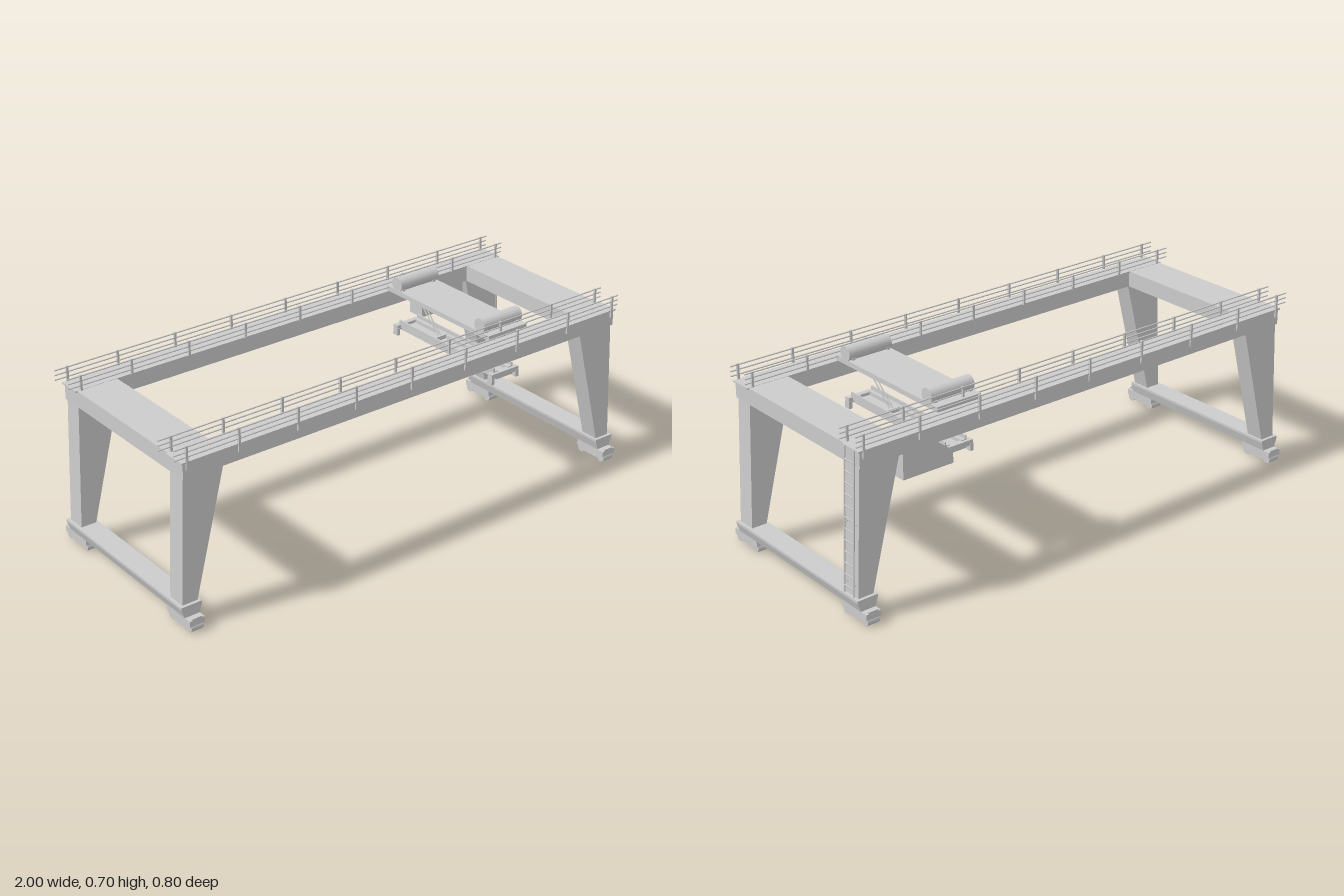
import * as THREE from 'three';

const mat = new THREE.MeshStandardMaterial({ color: 0xcccccc });
const flat = new THREE.MeshStandardMaterial({ color: 0xcccccc, flatShading: true });

function add(parent, name, geo, material = flat) {
  const m = new THREE.Mesh(geo, material);
  m.name = name;
  parent.add(m);
  return m;
}

// Box given by its limits on each axis
function box(parent, name, x0, x1, y0, y1, z0, z1) {
  const m = add(parent, name, new THREE.BoxGeometry(Math.abs(x1 - x0), y1 - y0, Math.abs(z1 - z0)));
  m.position.set((x0 + x1) / 2, (y0 + y1) / 2, (z0 + z1) / 2);
  return m;
}

// Outline in x and y, extruded from z0 to z1
function prism(parent, name, pts, z0, z1) {
  const shape = new THREE.Shape(pts.map(p => new THREE.Vector2(p[0], p[1])));
  const geo = new THREE.ExtrudeGeometry(shape, { depth: z1 - z0, bevelEnabled: false });
  geo.translate(0, 0, z0);
  return add(parent, name, geo);
}

// Round bar between two points
function rod(parent, name, a, b, r, sides = 6) {
  const p = new THREE.Vector3(...a), d = new THREE.Vector3(...b).sub(p);
  const m = add(parent, name, new THREE.CylinderGeometry(r, r, d.length(), sides), mat);
  m.position.copy(p).addScaledVector(d, 0.5);
  m.quaternion.setFromUnitVectors(new THREE.Vector3(0, 1, 0), d.normalize());
  return m;
}

// Handrail along a girder edge
function railing(parent, z, yBase) {
  const g = new THREE.Group();
  g.name = 'railing';
  parent.add(g);
  for (const x of [-0.95, -0.745, -0.505, -0.26, -0.015, 0.23, 0.475, 0.725, 0.95])
    box(g, 'railPost', x - 0.004, x + 0.004, yBase, 0.688, z - 0.004, z + 0.004);
  for (const y of [0.648, 0.666, 0.684])
    rod(g, 'handrail', [-1, y, z], [0.98, y, z], 0.0025);
}

// Wheel truck under one corner
function truck(parent, sx, sz) {
  const g = new THREE.Group();
  g.name = 'wheelTruck';
  parent.add(g);
  const side = [[-0.07, 0.05], [-0.07, 0.028], [-0.035, 0.014], [0.035, 0.014], [0.07, 0.028], [0.07, 0.05]];
  prism(g, 'truckFrame', side, -0.03, 0.03).rotation.y = Math.PI / 2;
  for (const z of [-0.053, 0.053]) {
    const w = add(g, 'wheel', new THREE.CylinderGeometry(0.017, 0.017, 0.048, 20), mat);
    w.rotation.z = Math.PI / 2;
    w.position.set(0, 0.017, z);
  }
  box(g, 'bumper', -0.02, 0.02, 0.03, 0.056, sz * 0.064, sz * 0.07);
  g.position.set(sx * 0.955, 0, sz * 0.33);
}

export function createModel() {
  const model = new THREE.Group();
  model.name = 'gantryCrane';

  // Main girders with walkway plates and railings
  for (const s of [-1, 1]) {
    box(model, 'girder', -0.965, 0.965, 0.567, 0.627, s * 0.283, s * 0.366);
    box(model, 'walkway', -0.972, 0.972, 0.625, 0.631, s * 0.28, s * 0.371);
    railing(model, s * 0.369, 0.6);
    railing(model, s * 0.279, 0.628);
  }

  // End frames: cross beam, tapered legs, sill beam, trucks
  for (const s of [-1, 1]) {
    box(model, 'crossBeam', s * 0.805, s * 0.965, 0.567, 0.63, -0.29, 0.29);
    for (const t of [-1, 1]) {
      let pts = [[0.985, 0.09], [0.962, 0.57], [0.802, 0.57], [0.925, 0.09]];
      prism(model, 'leg', pts.map(p => [s * p[0], p[1]]), t > 0 ? 0.285 : -0.358, t > 0 ? 0.358 : -0.285);
      truck(model, s, t);
    }
    const sill = [[0.915, 0.093], [0.915, 0.084], [0.925, 0.05], [0.985, 0.05], [0.997, 0.084], [0.997, 0.093]];
    prism(model, 'sillBeam', sill.map(p => [s * p[0], p[1]]), -0.37, 0.37);
  }

  // Ladder on the back leg of the left end
  const ladder = new THREE.Group();
  ladder.name = 'ladder';
  model.add(ladder);
  const ladderX = y => 0.997 - (y - 0.1) * 0.045;
  for (const z of [-0.297, -0.349])
    rod(ladder, 'ladderRail', [ladderX(0.1), 0.1, z], [ladderX(0.63), 0.63, z], 0.003);
  for (let i = 0; i < 12; i++) {
    const y = 0.127 + i * 0.0415, x = ladderX(y);
    rod(ladder, 'rung', [x, y, -0.297], [x, y, -0.349], 0.003);
  }
  for (const y of [0.14, 0.36, 0.58])
    for (const z of [-0.3, -0.346])
      rod(ladder, 'ladderBracket', [ladderX(y), y, z], [ladderX(y) - 0.022, y, z], 0.002);

  // Trolley with two hoist drums
  const trolley = new THREE.Group();
  trolley.name = 'trolley';
  model.add(trolley);
  box(trolley, 'trolleyDeck', 0.41, 0.595, 0.631, 0.65, -0.293, 0.29);
  for (const s of [-1, 1]) {
    const z = s * 0.235;
    rod(trolley, 'hoistDrum', [0.412, 0.672, z], [0.595, 0.672, z], 0.028, 32);
    for (const x of [0.425, 0.575])
      box(trolley, 'drumSaddle', x - 0.006, x + 0.006, 0.648, 0.658, z - 0.026, z + 0.026);
    // Hoist ropes slant inward to the spreader
    for (const x of [0.5, 0.512])
      rod(trolley, 'hoistRope', [x, 0.64, s * 0.258], [x, 0.485, s * 0.092], 0.0025);
  }

  // Spreader: twin long beams, centre frame, end beams with corner feet
  const spreader = new THREE.Group();
  spreader.name = 'spreader';
  model.add(spreader);
  for (const s of [-1, 1]) {
    const x = 0.503 + s * 0.036;
    box(spreader, 'spreaderBeam', x - 0.011, x + 0.011, 0.47, 0.486, -0.272, 0.272);
    box(spreader, 'spreaderFlange', x + s * 0.005, x + s * 0.011, 0.484, 0.5, -0.272, 0.272);
    box(spreader, 'endBeam', 0.438, 0.568, 0.464, 0.483, s * 0.262, s * 0.284);
    box(spreader, 'headBlock', 0.47, 0.536, 0.472, 0.487, s * 0.08, s * 0.12);
    for (const t of [-1, 1]) {
      const fx = 0.503 + t * 0.059;
      box(spreader, 'cornerFoot', fx - 0.007, fx + 0.007, 0.442, 0.47, s * 0.26, s * 0.285);
    }
  }
  box(spreader, 'spreaderCentre', 0.465, 0.541, 0.457, 0.472, -0.28, 0.28);

  // Operator cabin hung below the back girder
  prism(model, 'cabin', [[0.583, 0.468], [0.79, 0.468], [0.79, 0.57], [0.655, 0.57], [0.583, 0.515]], -0.36, -0.287);

  return model;
}
